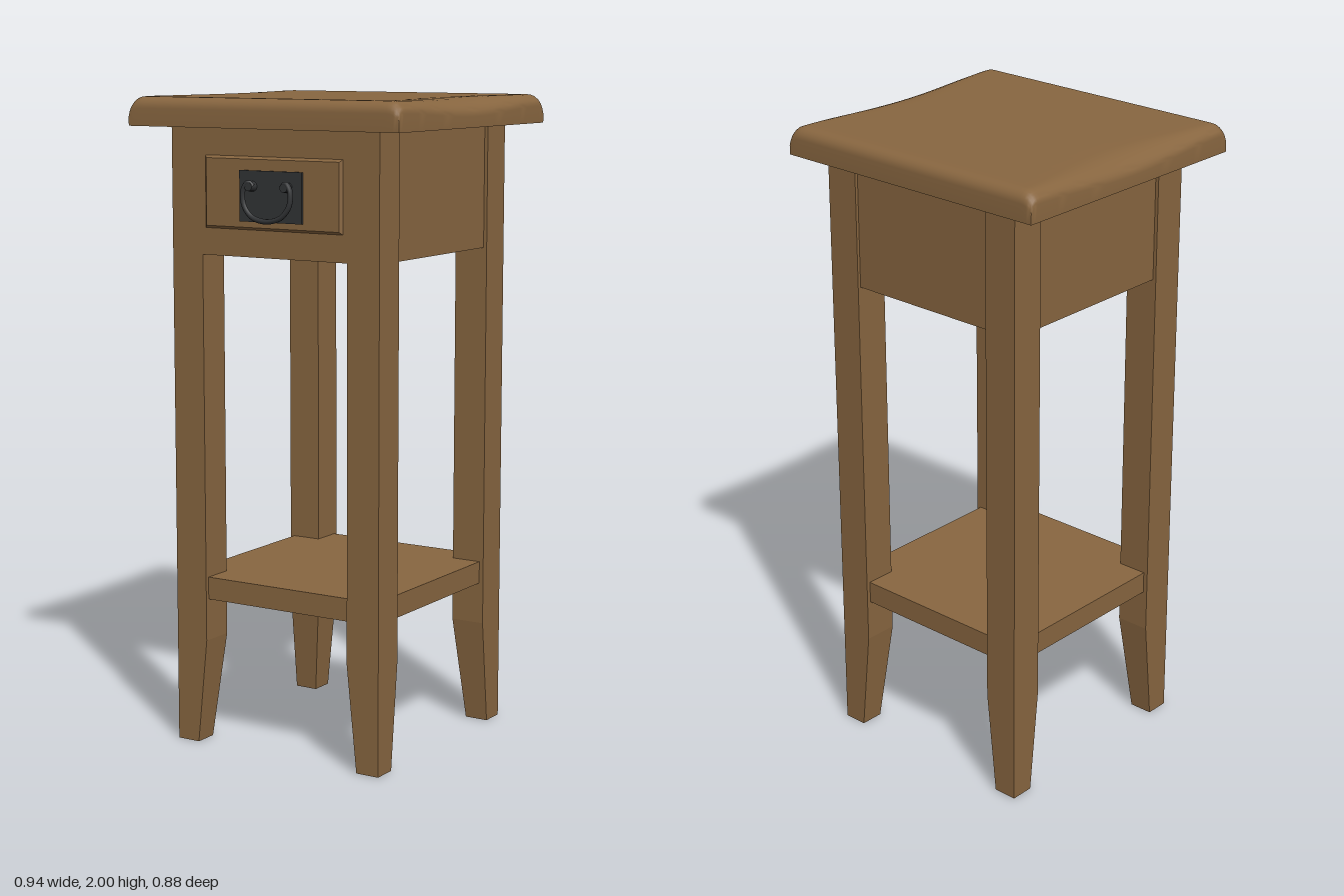
import * as THREE from 'three';
import { toCreasedNormals } from 'three/addons/utils/BufferGeometryUtils.js';

export function createModel() {
  const wood = new THREE.MeshStandardMaterial({ color: 0x886640 });
  wood.name = 'warm wood';
  const iron = new THREE.MeshStandardMaterial({ color: 0x323436 });
  iron.name = 'dark iron';
  const group = new THREE.Group();
  group.name = 'sideTable';

  const add = (name, geometry, material = wood) => {
    const mesh = new THREE.Mesh(geometry, material);
    mesh.name = name;
    group.add(mesh);
    return mesh;
  };
  // Box given by its low and high corners
  const box = (name, [x0, y0, z0], [x1, y1, z1], material) =>
    add(name, new THREE.BoxGeometry(x1 - x0, y1 - y0, z1 - z0), material)
      .position.set((x0 + x1) / 2, (y0 + y1) / 2, (z0 + z1) / 2);
  // Move every vertex by a rule, then rebuild the normals
  const reshape = (geometry, rule, crease = 0.5) => {
    const p = geometry.attributes.position;
    const v = new THREE.Vector3();
    for (let i = 0; i < p.count; i++) {
      rule(v.fromBufferAttribute(p, i));
      p.setXYZ(i, v.x, v.y, v.z);
    }
    return toCreasedNormals(geometry, crease);
  };

  // Table top: soft rim, worn a little lower along the middle of the two sides
  const HX = 0.472, HZ = 0.438, TH = 0.088;
  // Grid lines gather near the rim
  const gather = (t) => Math.sign(t) * (1 - Math.pow(1 - Math.abs(t), 2));
  const rim = (d, w) => {
    const t = Math.max(0, 1 - d / w);
    return 1 - Math.sqrt(1 - t * t);
  };
  const top = reshape(new THREE.BoxGeometry(2, 1, 2, 40, 1, 40), (v) => {
    const upper = v.y > 0;
    v.x = gather(v.x) * HX;
    v.z = gather(v.z) * HZ;
    const dx = HX - Math.abs(v.x), dz = HZ - Math.abs(v.z);
    const worn = Math.pow(Math.cos((v.z / HZ) * Math.PI / 2), 2);
    const drop = (0.035 + 0.02 * worn) * rim(dx, 0.04 + 0.06 * worn) + 0.035 * rim(dz, 0.035);
    v.y = upper ? 2 - Math.min(drop, 0.06) : 2 - TH;
  }, 0.8);
  add('tableTop', top);

  // Legs: straight outside, tapered inside near the foot
  const ZC = -0.01, OX = 0.366, OZ = 0.375, LEG = 0.11;
  for (const sx of [-1, 1]) for (const sz of [-1, 1]) {
    const leg = reshape(new THREE.BoxGeometry(1, 1, 1, 1, 2, 1), (v) => {
      const foot = v.y < -0.4;
      const w = foot ? 0.076 : LEG;
      const inX = v.x * sx < 0, inZ = v.z * sz < 0;
      v.x = sx * (OX - (inX ? w : 0));
      v.z = ZC + sz * (OZ - (inZ ? w : 0));
      v.y = foot ? 0 : v.y > 0.4 ? 1.915 : 0.33;
    }, 0.05);
    add((sz > 0 ? 'front' : 'back') + (sx > 0 ? 'Left' : 'Right') + 'Leg', leg);
  }

  // Drawer case between the legs, flush at the front and slightly set in elsewhere
  box('drawerCase', [-0.355, 1.53, -0.375], [0.355, 1.915, 0.355]);
  box('drawerSurround', [-0.258, 1.53, 0.34], [0.258, 1.915, 0.365]);

  // Raised drawer panel with a shallow sloped border
  const panel = reshape(new THREE.BoxGeometry(0.51, 0.24, 0.02), (v) => {
    if (v.z > 0) { v.x *= 0.92; v.y *= 0.84; }
  }, 0.05);
  add('drawerPanel', panel).position.set(0, 1.72, 0.363);

  // Lower shelf
  box('shelf', [-0.352, 0.46, -0.372], [0.352, 0.53, 0.352]);

  // Iron pull: back plate, two posts and a hanging bail with curled ends
  box('handlePlate', [-0.11, 1.637, 0.371], [0.11, 1.788, 0.38], iron);
  for (const s of [-1, 1]) {
    const post = add('handlePost', new THREE.CylinderGeometry(0.013, 0.016, 0.03, 12), iron);
    post.rotation.x = Math.PI / 2;
    post.position.set(s * 0.062, 1.742, 0.39);
  }
  const half = [[0.05, 1.742, 0.396], [0.065, 1.755, 0.398], [0.082, 1.735, 0.4],
    [0.08, 1.69, 0.402], [0.052, 1.655, 0.404]];
  const path = [
    ...half.map(([x, y, z]) => new THREE.Vector3(-x, y, z)),
    new THREE.Vector3(0, 1.642, 0.405),
    ...half.slice().reverse().map(([x, y, z]) => new THREE.Vector3(x, y, z)),
  ];
  add('handleBail', new THREE.TubeGeometry(new THREE.CatmullRomCurve3(path), 48, 0.008, 8), iron);

  return group;
}
